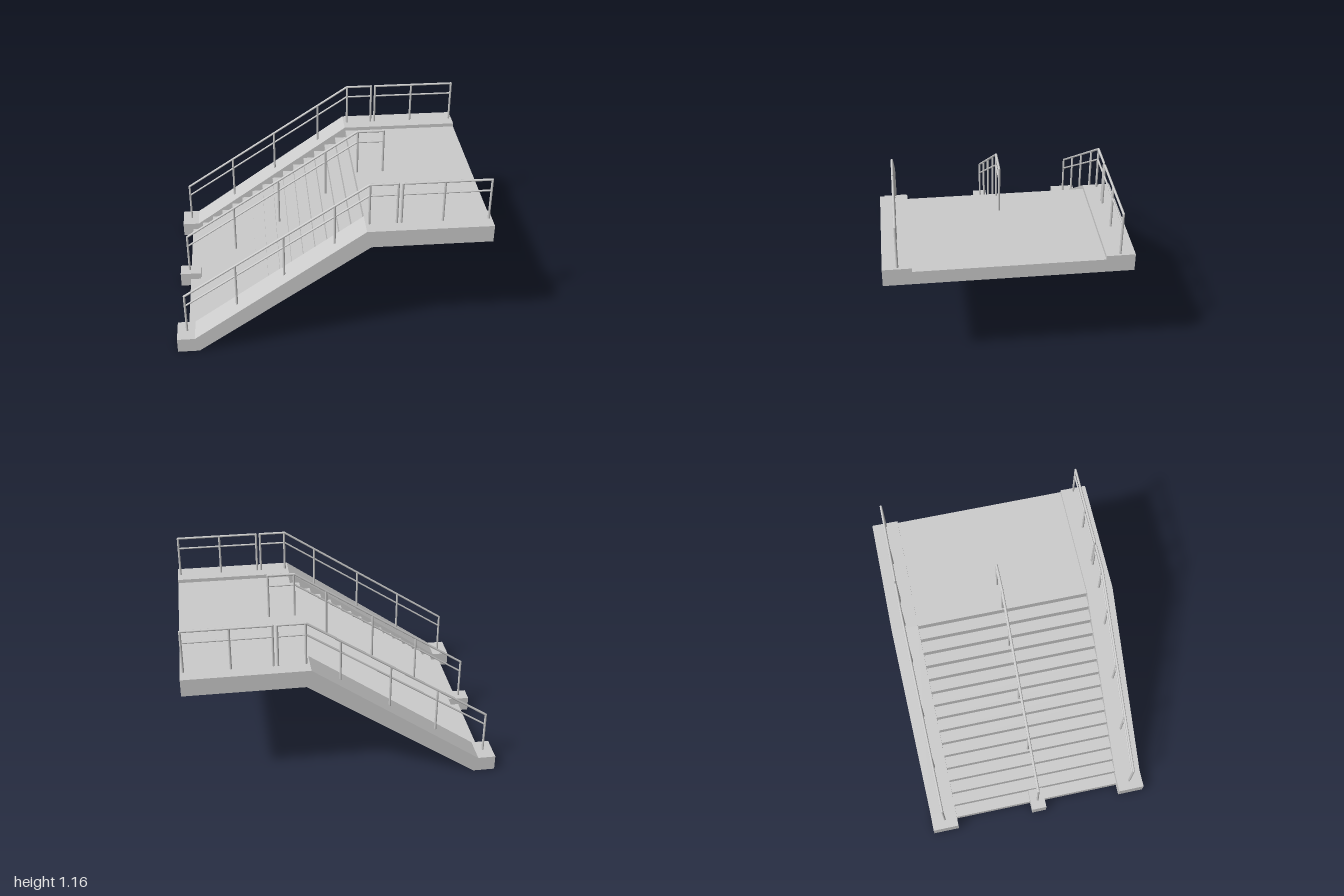
import * as THREE from 'three';

const material = new THREE.MeshStandardMaterial({ color: 0xcccccc });
const HALF = 0.75, INNER = 0.575, RAIL_Z = 0.66;
const STEPS = 16, START = -0.93, TREAD = 0.0764, DECK = 0.845, RISE = DECK / STEPS;

function add(parent, name, geometry) {
  const mesh = new THREE.Mesh(geometry, material);
  mesh.name = name;
  parent.add(mesh);
  return mesh;
}

// Side profile in x/y, extruded from z0 to z1
function slab(parent, name, points, z0, z1) {
  const shape = new THREE.Shape(points.map(([x, y]) => new THREE.Vector2(x, y)));
  const geometry = new THREE.ExtrudeGeometry(shape, { depth: z1 - z0, bevelEnabled: false });
  add(parent, name, geometry.translate(0, 0, z0));
}

// Round bar between two points of the x/y plane
function bar(parent, name, [x0, y0], [x1, y1], radius) {
  const dx = x1 - x0, dy = y1 - y0;
  const mesh = add(parent, name, new THREE.CylinderGeometry(radius, radius, Math.hypot(dx, dy), 12));
  mesh.position.set((x0 + x1) / 2, (y0 + y1) / 2, 0);
  mesh.rotation.z = Math.atan2(-dx, dy);
}

// Bars along a path, with ball joints at the corners
function rail(parent, name, path, radius) {
  path.forEach((p, i) => {
    add(parent, name + 'Joint', new THREE.SphereGeometry(radius, 12, 8)).position.set(p[0], p[1], 0);
    if (i) bar(parent, name, path[i - 1], p, radius);
  });
}

const curbTop = x => Math.min(0.87, Math.max(0.1, 0.1 + (x + 0.885) * 0.703));
const stepTop = x => x < -0.86 ? 0.1 : Math.min(STEPS, Math.floor((x - START) / TREAD) + 1) * RISE;
const railTop = x => Math.min(1.15, 0.377 + (x + 0.94) * 0.661);

// Railing: posts standing on the given ground, handrail and middle rail
function railing(parent, name, z, posts, bends, ground) {
  const group = new THREE.Group();
  group.name = name;
  group.position.z = z;
  posts.forEach(x => bar(group, 'post', [x, ground(x) - 0.01], [x, railTop(x)], 0.0075));
  rail(group, 'handrail', bends.map(x => [x, railTop(x)]), 0.0075);
  rail(group, 'middleRail', bends.map(x => [x, railTop(x) - 0.077]), 0.006);
  parent.add(group);
}

export function createModel() {
  const model = new THREE.Group();
  model.name = 'staircase';

  // Steps and landing, on a sloping underside
  const steps = [[START, 0]];
  for (let i = 0; i < STEPS; i++) {
    const x = START + i * TREAD, y = (i + 1) * RISE;
    steps.push([x, y], [i === STEPS - 1 ? 1 : x + TREAD, y]);
  }
  steps.push([1, 0.755], [0.24, 0.755], [-0.86, 0]);
  slab(model, 'stepsAndLanding', steps, -INNER, INNER);

  // Side curbs
  const curb = [[-1, 0], [-1, 0.1], [-0.885, 0.1], [0.21, 0.87], [1, 0.87],
    [1, 0.755], [0.24, 0.755], [-0.86, 0]];
  slab(model, 'leftCurb', curb, INNER, HALF);
  slab(model, 'rightCurb', curb, -HALF, -INNER);

  // Footing of the middle railing
  add(model, 'middleFooting', new THREE.BoxGeometry(0.14, 0.1, 0.1)).position.set(-0.93, 0.05, 0);

  // Railings
  const stairPosts = [-0.937, -0.605, -0.298, 0.02, 0.233, 0.405];
  const stairBends = [-0.937, 0.2295, 0.405];
  for (const side of [-1, 1]) {
    railing(model, 'stairRailing', side * RAIL_Z, stairPosts, stairBends, curbTop);
    railing(model, 'landingRailing', side * RAIL_Z, [0.433, 0.692, 0.98], [0.433, 0.98], curbTop);
  }
  railing(model, 'middleRailing', 0, stairPosts, stairBends, stepTop);

  return model;
}
